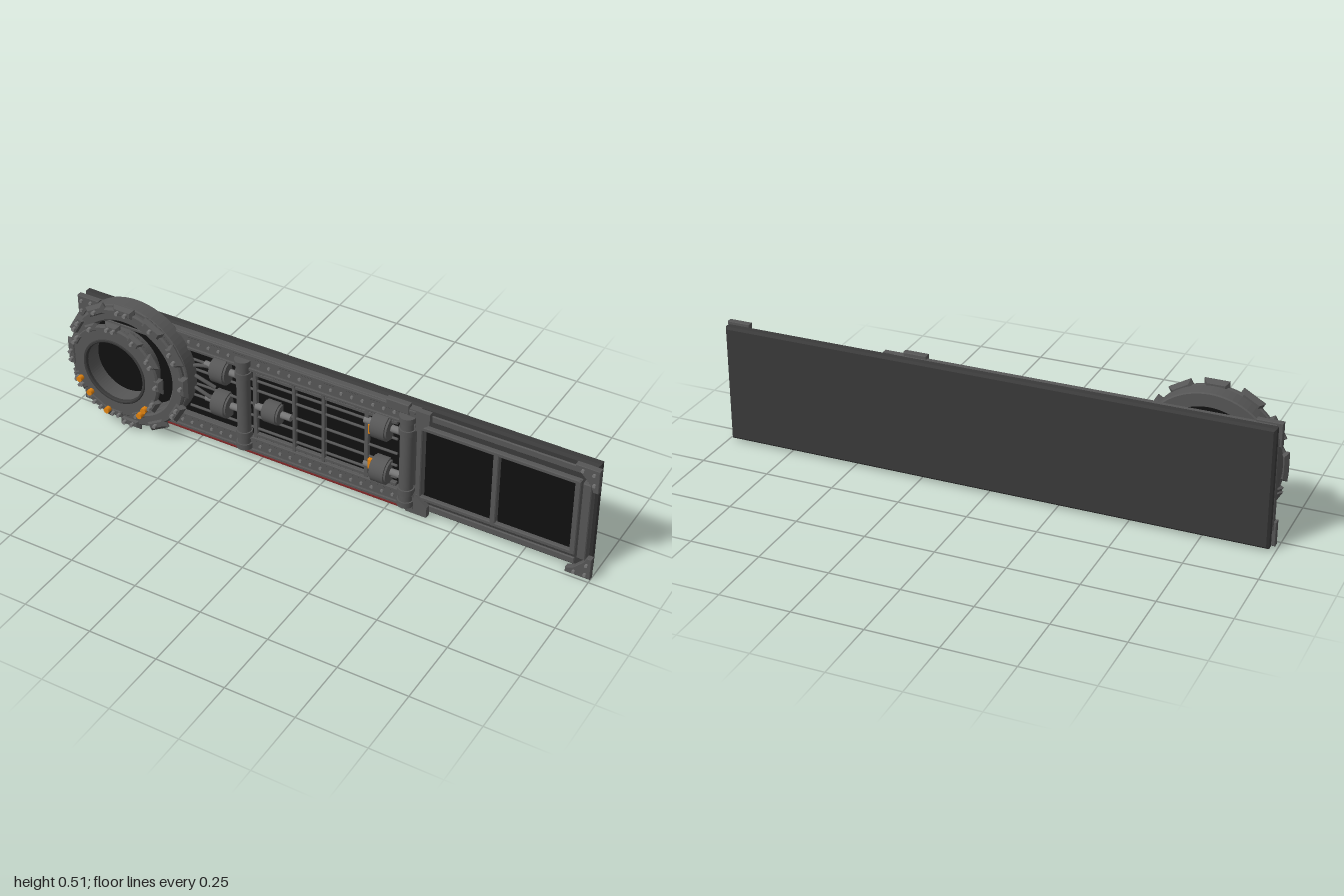
import * as THREE from 'three';

const mat = (name, color) => {
  const m = new THREE.MeshStandardMaterial({ color });
  m.name = name;
  return m;
};

export function createModel() {
  const root = new THREE.Group();
  root.name = 'mechanicalPanel';
  const steel = mat('steelGrey', 0x565656);
  const dark = mat('darkPlate', 0x3a3a3a);
  const black = mat('blackGlass', 0x101010);
  const light = mat('boltGrey', 0x757575);
  const orange = mat('orangeLamp', 0xe0820f);
  const red = mat('darkRed', 0x7a2626);

  const add = (name, geo, m, x, y, z, parent = root) => {
    const mesh = new THREE.Mesh(geo, m);
    mesh.name = name;
    mesh.position.set(x, y, z);
    parent.add(mesh);
    return mesh;
  };
  // Chamfered block, centred on the origin
  const block = (w, h, d, b) => {
    const W = w / 2 - b, H = h / 2 - b;
    const s = new THREE.Shape([[-W, -H], [W, -H], [W, H], [-W, H]].map(p => new THREE.Vector2(...p)));
    const g = new THREE.ExtrudeGeometry(s, {
      depth: d - 2 * b, bevelEnabled: true, bevelSize: b, bevelThickness: b, bevelSegments: 1,
    });
    return g.translate(0, 0, -(d - 2 * b) / 2);
  };
  // Block given by its limits on each axis
  const span = (name, m, x0, x1, y0, y1, z0, z1, b = 0.003) =>
    add(name, block(x1 - x0, y1 - y0, z1 - z0, b), m, (x0 + x1) / 2, (y0 + y1) / 2, (z0 + z1) / 2);
  const rod = (name, m, r, len, axis, x, y, z, sides = 12, parent = root) => {
    const g = new THREE.CylinderGeometry(r, r, len, sides);
    if (axis === 'x') g.rotateZ(Math.PI / 2);
    if (axis === 'z') g.rotateX(Math.PI / 2);
    return add(name, g, m, x, y, z, parent);
  };
  // Hollow ring around z, with sharp edges
  const ring = (name, m, ri, ro, z0, z1, x, y, b = 0) => {
    const s = new THREE.Shape().absarc(0, 0, ro - b, 0, Math.PI * 2);
    s.holes.push(new THREE.Path().absarc(0, 0, ri + b, 0, Math.PI * 2, true));
    const g = new THREE.ExtrudeGeometry(s, {
      depth: z1 - z0 - 2 * b, curveSegments: 40, bevelEnabled: b > 0,
      bevelSize: b, bevelThickness: b, bevelSegments: 1,
    });
    return add(name, g, m, x, y, z0 + b);
  };

  // Back plate and the frame in front of it
  span('backPlate', dark, -0.98, 0.985, 0.01, 0.44, -0.08, -0.043, 0.008);
  span('frameBacking', dark, -0.96, 0.38, 0.03, 0.42, -0.045, -0.038, 0.001);
  span('upperRail', steel, -0.97, 0.36, 0.365, 0.435, -0.044, -0.02);
  span('lowerRail', steel, -0.97, 0.36, 0.02, 0.09, -0.044, -0.02);
  for (const y of [0.425, 0.372, 0.083, 0.032])
    span('railLip', steel, -0.96, 0.35, y - 0.006, y + 0.006, -0.03, -0.014, 0.002);
  span('redStrip', red, -0.9, 0.33, 0.014, 0.022, -0.028, -0.018, 0.001);
  span('leftRail', steel, -0.98, -0.93, 0.06, 0.39, -0.044, -0.015);
  span('rightRail', steel, 0.945, 0.975, 0.07, 0.375, -0.044, -0.015);
  for (let i = 0; i < 32; i++)
    for (const y of [0.4, 0.057]) rod('railBolt', light, 0.006, 0.008, 'z', -0.93 + i * 0.04, y, -0.018, 6);

  // Corner brackets: L-shaped plates with a diagonal inner edge
  const bracketShape = new THREE.Shape([[0, 0], [0.08, 0], [0.08, 0.015], [0.06, 0.025],
    [0.025, 0.06], [0.015, 0.085], [0, 0.085]].map(p => new THREE.Vector2(...p)));
  const bracketGeo = new THREE.ExtrudeGeometry(bracketShape, {
    depth: 0.018, bevelEnabled: true, bevelSize: 0.002, bevelThickness: 0.002, bevelSegments: 1,
  });
  for (const [x, y, turn] of [[-0.987, 0.003, 0], [0.997, 0.003, 1], [0.997, 0.44, 2], [-0.987, 0.44, 3]]) {
    // Odd turns swap the legs, which differ only slightly
    const b = add('cornerBracket', bracketGeo, steel, x, y, -0.032);
    b.rotation.z = turn * Math.PI / 2;
    const sx = x > 0 ? -1 : 1, sy = y > 0.2 ? -1 : 1;
    for (const [dx, dy] of [[0.016, 0.016], [0.055, 0.013], [0.013, 0.055]])
      rod('bracketBolt', light, 0.006, 0.012, 'z', x + sx * dx, y + sy * dy, -0.01, 8);
  }
  span('topCap', steel, 0.24, 0.325, 0.41, 0.448, -0.036, -0.012);
  for (const [y, s] of [[0.435, -1], [0.01, 1]]) {
    const g = new THREE.ExtrudeGeometry(new THREE.Shape([new THREE.Vector2(0, 0),
      new THREE.Vector2(0.08, 0), new THREE.Vector2(0.08, 0.04), new THREE.Vector2(0, 0.11)]),
    { depth: 0.02, bevelEnabled: false });
    if (s < 0) g.rotateX(Math.PI).translate(0, 0, 0.02);
    add('middleBracket', g, steel, 0.32, y, -0.036);
  }

  // Two dark screens with a raised surround
  for (const [x0, x1] of [[0.365, 0.625], [0.65, 0.915]])
    span('screen', black, x0, x1, 0.08, 0.355, -0.045, -0.038, 0.001);
  for (const y of [0.076, 0.363]) span('screenRail', steel, 0.355, 0.93, y - 0.008, y + 0.008, -0.044, -0.024);
  for (const x of [0.36, 0.637, 0.924]) span('screenPost', steel, x - 0.01, x + 0.01, 0.07, 0.37, -0.044, -0.024);
  for (const y of [0.035, 0.405]) span('rightBorder', steel, 0.39, 0.93, y - 0.013, y + 0.013, -0.044, -0.036);

  // Black bay behind the machinery
  span('bay', black, -0.93, 0.3, 0.085, 0.37, -0.042, -0.036, 0.001);
  for (const y of [0.125, 0.175, 0.225, 0.285, 0.325])
    rod('bayRod', steel, 0.005, 0.82, 'x', -0.13, y, -0.028, 8);
  for (const x of [-0.115, 0.0]) span('bayPost', steel, x - 0.006, x + 0.006, 0.085, 0.37, -0.036, -0.018, 0.002);
  for (const x of [-0.27, 0.165]) span('bayEdge', steel, x - 0.008, x + 0.008, 0.085, 0.37, -0.036, -0.02, 0.002);
  for (const y of [0.1, 0.355]) span('bayTrim', steel, -0.27, 0.28, y - 0.007, y + 0.007, -0.036, -0.02, 0.002);

  // Vertical columns with collars
  for (const x of [-0.313, 0.32]) {
    rod('column', steel, 0.025, 0.36, 'y', x, 0.222, -0.018, 16);
    for (const y of [0.05, 0.1, 0.345, 0.395]) rod('columnCollar', steel, 0.03, 0.022, 'y', x, y, -0.018, 16);
  }

  // Motors lying along x, each with end caps and a shaft
  for (const [x, y] of [[-0.4, 0.325], [-0.4, 0.185], [-0.197, 0.222], [0.227, 0.325], [0.227, 0.145]]) {
    const r = y === 0.222 ? 0.042 : 0.05;
    rod('motorBody', steel, r, 0.05, 'x', x, y, -0.026, 24);
    for (const d of [-0.026, 0.026]) rod('motorCap', steel, r * 0.86, 0.012, 'x', x + d, y, -0.026, 24);
    rod('motorShaft', light, 0.013, 0.14, 'x', x, y, -0.024, 12);
  }
  for (const y of [0.3, 0.155]) span('orangeLight', orange, 0.176, 0.19, y - 0.02, y + 0.02, -0.03, -0.01, 0.002);
  // Cables running from the dial to the motors
  for (const [y0, y1] of [[0.3, 0.325], [0.22, 0.185], [0.27, 0.24]]) {
    const c = new THREE.CatmullRomCurve3([new THREE.Vector3(-0.53, y0, -0.02),
      new THREE.Vector3(-0.48, (y0 + y1) / 2 + 0.01, -0.012), new THREE.Vector3(-0.43, y1, -0.022)]);
    add('cable', new THREE.TubeGeometry(c, 12, 0.007, 8), steel, 0, 0, 0);
  }

  // Round housing, open at the front
  const big = [-0.743, 0.26], small = [-0.795, 0.228];
  ring('housing', steel, 0.185, 0.237, -0.027, 0.034, ...big, 0.004);
  rod('housingFloor', black, 0.215, 0.008, 'z', ...big, -0.022, 48);
  ring('innerTube', steel, 0.12, 0.14, -0.02, 0.05, ...small);
  rod('lens', black, 0.125, 0.006, 'z', ...small, -0.014, 40);
  ring('outerRing', steel, 0.187, 0.235, 0.039, 0.06, ...big, 0.006);
  ring('innerRing', steel, 0.12, 0.182, 0.04, 0.063, ...small, 0.006);
  ring('innerRim', dark, 0.118, 0.13, 0.05, 0.066, ...small, 0.003);

  // Chamfered clamps and studs around both rings
  const clamps = (name, count, r, start, geo, [cx, cy]) => {
    for (let i = 0; i < count; i++) {
      const a = start + i * Math.PI * 2 / count;
      const c = add(name, geo, steel, cx + r * Math.cos(a), cy + r * Math.sin(a), 0.052);
      c.rotation.z = a - Math.PI / 2;
      for (const d of i % 2 ? [0] : [-0.07, 0.07])
        rod('stud', light, 0.007, 0.018, 'z', cx + r * Math.cos(a + d), cy + r * Math.sin(a + d), 0.071, 10);
    }
  };
  clamps('outerClamp', 12, 0.23, Math.PI / 2, block(0.085, 0.042, 0.029, 0.012), big);
  clamps('innerClamp', 12, 0.177, Math.PI / 2, block(0.06, 0.04, 0.028, 0.011), small);
  for (const [x, y] of [[-0.94, 0.155], [-0.9, 0.11], [-0.83, 0.058], [-0.69, 0.085], [-0.67, 0.115]])
    rod('orangeLamp', orange, 0.011, 0.025, 'z', x, y, 0.0685, 12);

  return root;
}
